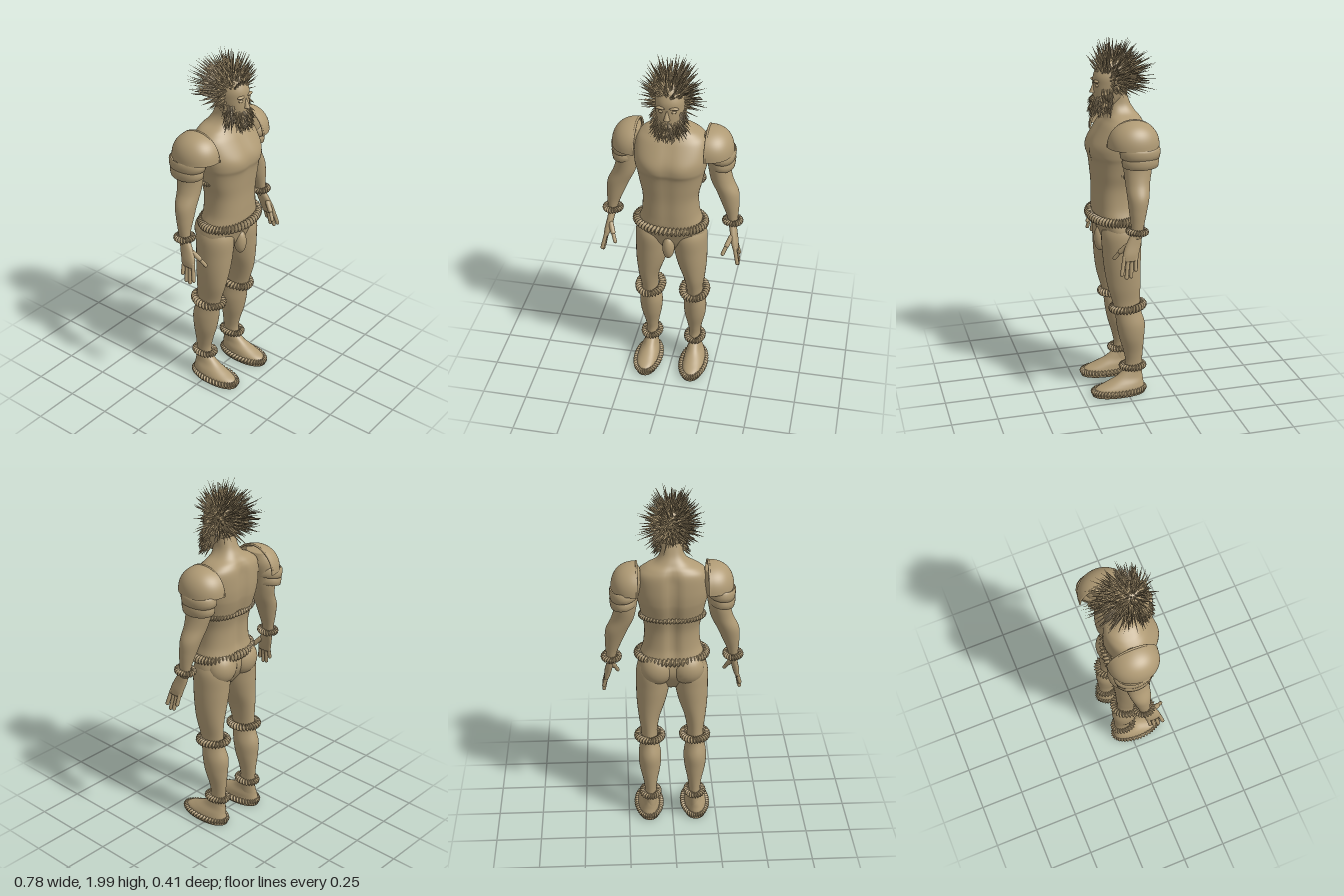
import * as THREE from 'three';
import { mergeGeometries } from 'three/addons/utils/BufferGeometryUtils.js';

const tan = new THREE.MeshStandardMaterial({ color: 0xb09b75, side: THREE.DoubleSide });
tan.name = 'tan';
const V = (x, y, z) => new THREE.Vector3(x, y, z);

let seed = 7;
const rnd = () => (seed = (seed * 16807) % 2147483647) / 2147483647;

// Smooth surface from rows of points; each row is a closed loop
function grid(ni, nj, closed, fn) {
  const pos = [], idx = [];
  for (let i = 0; i < ni; i++) for (let j = 0; j < nj; j++) pos.push(...fn(i, j));
  for (let i = 0; i < (closed ? ni : ni - 1); i++) for (let j = 0; j < nj; j++) {
    const k = ((i + 1) % ni) * nj, l = (j + 1) % nj;
    const a = i * nj + j, c = i * nj + l, b = k + j, d = k + l;
    idx.push(a, c, b, c, d, b);
  }
  const g = new THREE.BufferGeometry();
  g.setAttribute('position', new THREE.Float32BufferAttribute(pos, 3));
  g.setIndex(idx);
  g.computeVertexNormals();
  return g;
}

// Body part from cross-sections [y, x0, x1, zBack, zFront], listed top to bottom
function loft(rings, n = 2, sides = 36, steps = 6, bend = (p) => p) {
  const last = rings.length - 1, rows = [];
  for (let s = 0; s <= last * steps; s++) {
    const i = Math.min(Math.floor(s / steps), last - 1), t = s / steps - i;
    const q = [-1, 0, 1, 2].map((o) => rings[Math.min(Math.max(i + o, 0), last)]);
    rows.push(q[1].map((_, c) => {
      const [a, b, d, e] = q.map((r) => r[c]);
      return b + 0.5 * t * (d - a + t * (2 * a - 5 * b + 4 * d - e + t * (3 * (b - d) + e - a)));
    }));
  }
  const point = (r) => [r[0], (r[1] + r[2]) / 2, (r[1] + r[2]) / 2, (r[3] + r[4]) / 2, (r[3] + r[4]) / 2];
  rows.unshift(point(rows[0]));
  rows.push(point(rows[rows.length - 1]));
  const round = (v) => Math.sign(v) * Math.abs(v) ** (2 / n);
  return grid(rows.length, sides, false, (i, j) => {
    const [y, x0, x1, z0, z1] = rows[i], a = (j / sides) * Math.PI * 2;
    return bend([(x0 + x1) / 2 + round(Math.cos(a)) * (x1 - x0) / 2, y,
      (z0 + z1) / 2 + round(Math.sin(a)) * (z1 - z0) / 2]);
  });
}
const symmetric = (rings) => rings.map(([y, w, b, f]) => [y, -w, w, b, f]);

// Twisted rope ring around an ellipse
function rope(x, y, z, rx, rz, r, twists, tilt = 0) {
  const ni = twists * 6;
  return grid(ni, 10, true, (i, j) => {
    const t = (i / ni) * Math.PI * 2, a = (j / 10) * Math.PI * 2;
    const rr = r * (0.85 + 0.3 * Math.cos(a + twists * t));
    const n = V(Math.cos(t) * rz, 0, Math.sin(t) * rx).normalize();
    return [x + Math.cos(t) * rx + n.x * rr * Math.cos(a),
      y + rr * Math.sin(a) - tilt * Math.sin(t), z + Math.sin(t) * rz + n.z * rr * Math.cos(a)];
  });
}

const ball = (x, y, z, rx, ry, rz) => new THREE.SphereGeometry(1, 24, 16).scale(rx, ry, rz).translate(x, y, z);

// Align a y-axis geometry so it runs from a to b
function along(g, a, b) {
  const d = b.clone().sub(a);
  const q = new THREE.Quaternion().setFromUnitVectors(V(0, 1, 0), d.clone().normalize());
  const m = a.clone().add(b).multiplyScalar(0.5);
  return g.applyQuaternion(q).translate(m.x, m.y, m.z);
}
const finger = (a, b, r) => along(new THREE.CapsuleGeometry(r, a.distanceTo(b) - r, 4, 10), a, b);
const spike = (a, b, r) => along(new THREE.ConeGeometry(r, a.distanceTo(b), 4, 1, true), a, b);

function mirrored(g) {
  const m = g.clone().scale(-1, 1, 1), ix = m.index.array;
  for (let i = 0; i < ix.length; i += 3) [ix[i], ix[i + 1]] = [ix[i + 1], ix[i]];
  return m;
}

export function createModel() {
  const group = new THREE.Group();
  const add = (name, g) => {
    const m = new THREE.Mesh(g, tan);
    m.name = name;
    group.add(m);
  };
  const pair = (name, g) => {
    add(name + 'Left', g);
    add(name + 'Right', mirrored(g));
  };

  // Torso and neck, with a spine groove and a shallow chest line
  add('torso', loft(symmetric([
    [1.70, .055, -.03, .09], [1.64, .06, -.05, .08], [1.60, .088, -.075, .078], [1.57, .145, -.1, .09],
    [1.53, .185, -.115, .12], [1.45, .195, -.12, .168], [1.39, .19, -.117, .178], [1.35, .18, -.11, .17],
    [1.28, .166, -.092, .163], [1.2, .15, -.075, .157], [1.1, .155, -.075, .156], [1.03, .175, -.085, .152],
    [.96, .188, -.085, .13], [.9, .16, -.06, .11], [.84, .06, -.02, .07]]), 2.4, 64, 6, ([x, y, z]) => {
    const back = THREE.MathUtils.smoothstep(y, .92, 1.1) * (1 - THREE.MathUtils.smoothstep(y, 1.5, 1.62));
    const groove = Math.exp(-((x / .03) ** 2)) * back;
    const pecs = Math.exp(-(((Math.abs(x) - .08) / .06) ** 2) - ((y - 1.41) / .045) ** 2);
    return [x, y, z < 0 ? z + .02 * groove : z - .005 * groove + (z > .08 ? .007 * pecs : 0)];
  }));
  add('groin', ball(0, .89, .115, .033, .07, .035));
  pair('buttock', ball(.083, .97, -.03, .09, .095, .078));

  // Legs and feet
  pair('leg', loft([
    [1.02, .04, .17, -.05, .1], [.95, .01, .195, -.085, .13], [.85, .014, .198, -.085, .128],
    [.75, .035, .196, -.08, .12], [.65, .068, .187, -.077, .105], [.56, .083, .175, -.075, .08],
    [.5, .08, .178, -.08, .065], [.42, .064, .19, -.103, .055], [.34, .068, .186, -.1, .04],
    [.25, .085, .166, -.094, .015], [.18, .093, .158, -.09, .005], [.1, .09, .162, -.092, .03],
    [.05, .085, .168, -.092, .06]]));
  pair('foot', loft([
    [.14, .095, .157, -.085, .01], [.1, .09, .168, -.092, .06], [.07, .08, .185, -.095, .12],
    [.045, .075, .195, -.1, .175], [.02, .07, .197, -.1, .19]], 2.2));
  pair('sole', loft([[.025, .064, .202, -.105, .195], [.003, .064, .202, -.105, .195]], 2.2, 40, 2));
  pair('soleRope', rope(.133, .028, .045, .069, .144, .015, 44));
  pair('kneeRope', rope(.126, .527, -.007, .066, .084, .02, 30, .009));
  pair('ankleRope', rope(.126, .163, -.036, .045, .06, .017, 24));

  // Belt and back cord
  add('belt', rope(0, 1.03, .044, .184, .126, .022, 54));
  add('backCord', rope(0, 1.285, 0, .167, .09, .014, 54));

  // Arms
  pair('arm', loft([
    [1.56, .17, .24, -.08, .05], [1.5, .16, .29, -.105, .06], [1.42, .178, .305, -.105, .055],
    [1.35, .19, .308, -.1, .05], [1.28, .205, .325, -.085, .045], [1.21, .238, .357, -.072, .042],
    [1.14, .268, .362, -.055, .038], [1.08, .293, .36, -.04, .033], [1.03, .308, .356, -.03, .032],
    [1.0, .313, .355, -.026, .04]]));
  pair('wristRope', rope(.33, 1.035, 0, .04, .044, .016, 22, -.004));

  // Hands
  pair('palm', loft([
    [1.02, .312, .352, -.026, .034], [.97, .322, .36, -.018, .062], [.92, .333, .37, -.004, .082],
    [.885, .345, .372, .003, .085]], 2.3, 24));
  const fingers = [0, 1, 2, 3].map((i) => {
    const tip = [.835, .8, .795, .815][i];
    return finger(V(.355, .91, .014 + i * .02), V(.376, tip, .02 + i * .025), .0105);
  });
  fingers.push(finger(V(.334, .965, .05), V(.312, .92, .09), .014), finger(V(.312, .92, .09), V(.295, .88, .115), .0105));
  pair('fingers', mergeGeometries(fingers));

  // Shoulder armour: dome, rolled rim and two overlapping plates
  const dome = new THREE.SphereGeometry(1, 28, 16, Math.PI / 2, Math.PI, 0, Math.PI / 2);
  const dp = dome.attributes.position;
  for (let i = 0; i < dp.count; i++) {
    dp.setX(i, Math.max(0, dp.getX(i)) ** .85);
    dp.setY(i, Math.max(0, dp.getY(i)) ** .85);
  }
  dome.scale(.137, .135, .137).translate(.187, 1.457, -.015);
  dome.computeVertexNormals();
  pair('pauldron', dome);
  pair('pauldronRim', new THREE.TorusGeometry(.134, .006, 8, 32, Math.PI).rotateY(Math.PI / 2).translate(.188, 1.457, -.015));
  [[.257, 1.437, .074, .105], [.262, 1.39, .068, .096]].forEach(([x, y, rx, rz], i) => {
    const plate = new THREE.LatheGeometry(
      [[.9, .032], [1, .022], [1.02, 0], [1.0, -.022], [.88, -.026]].reverse().map(([r, h]) => new THREE.Vector2(r, h)), 32);
    pair(i ? 'lowerArmPlate' : 'upperArmPlate',
      plate.scale(rx, 1, rz).rotateZ(-.12).translate(x, y, -.035));
  });

  // Head and face
  add('head', loft(symmetric([
    [1.88, .025, .01, .07], [1.86, .052, -.025, .11], [1.8, .075, -.045, .143], [1.75, .077, -.045, .146],
    [1.7, .07, -.03, .148], [1.65, .058, .01, .143], [1.61, .035, .05, .125]]), 2.2));
  add('nose', along(new THREE.ConeGeometry(.017, .06, 12).scale(1, 1, 1.1), V(0, 1.705, .15), V(0, 1.765, .143)));
  pair('brow', ball(.033, 1.768, .138, .027, .008, .012));
  pair('eye', ball(.032, 1.747, .135, .014, .008, .01));
  pair('ear', ball(.077, 1.735, .04, .01, .03, .018));

  // Spiky hair radiating from the skull, leaving the face open
  const hair = [], count = 620;
  for (let i = 0; i < count; i++) {
    const y = 1 - (1.5 * (i + .5)) / count, r = Math.sqrt(1 - y * y), a = i * 2.39996;
    const d = V(Math.cos(a) * r, y, Math.sin(a) * r);
    if (d.z > .3 && d.y < .35) continue;
    const k = .62 + .38 * rnd();
    const root = V(d.x * .062, 1.775 + d.y * .085, .045 + d.z * (d.z > 0 ? .08 : .07));
    const tip = V(d.x * .185 * k, 1.775 + d.y * .205 * k + .015, .035 + d.z * (d.z > 0 ? .16 : .235) * k);
    tip.add(V(rnd() - .5, rnd() - .5, rnd() - .5).multiplyScalar(.045));
    tip.y = Math.min(tip.y, 1.995);
    hair.push(spike(root, tip, .0075));
  }
  add('hair', mergeGeometries(hair));

  // Beard and sideburns
  const beard = [];
  for (let i = 0; i < 260; i++) {
    const a = (rnd() * 2 - 1) * 1.6, sx = Math.sin(a), cz = Math.cos(a);
    const y = 1.625 + rnd() * (Math.abs(a) > .9 ? .12 : .07);
    const root = V(sx * .062, y, .065 + cz * .075);
    beard.push(spike(root, V(sx * (.085 + rnd() * .03), y - .03 - rnd() * .035, .07 + cz * (.09 + rnd() * .025)), .0075));
  }
  add('beard', mergeGeometries(beard));
  return group;
}
